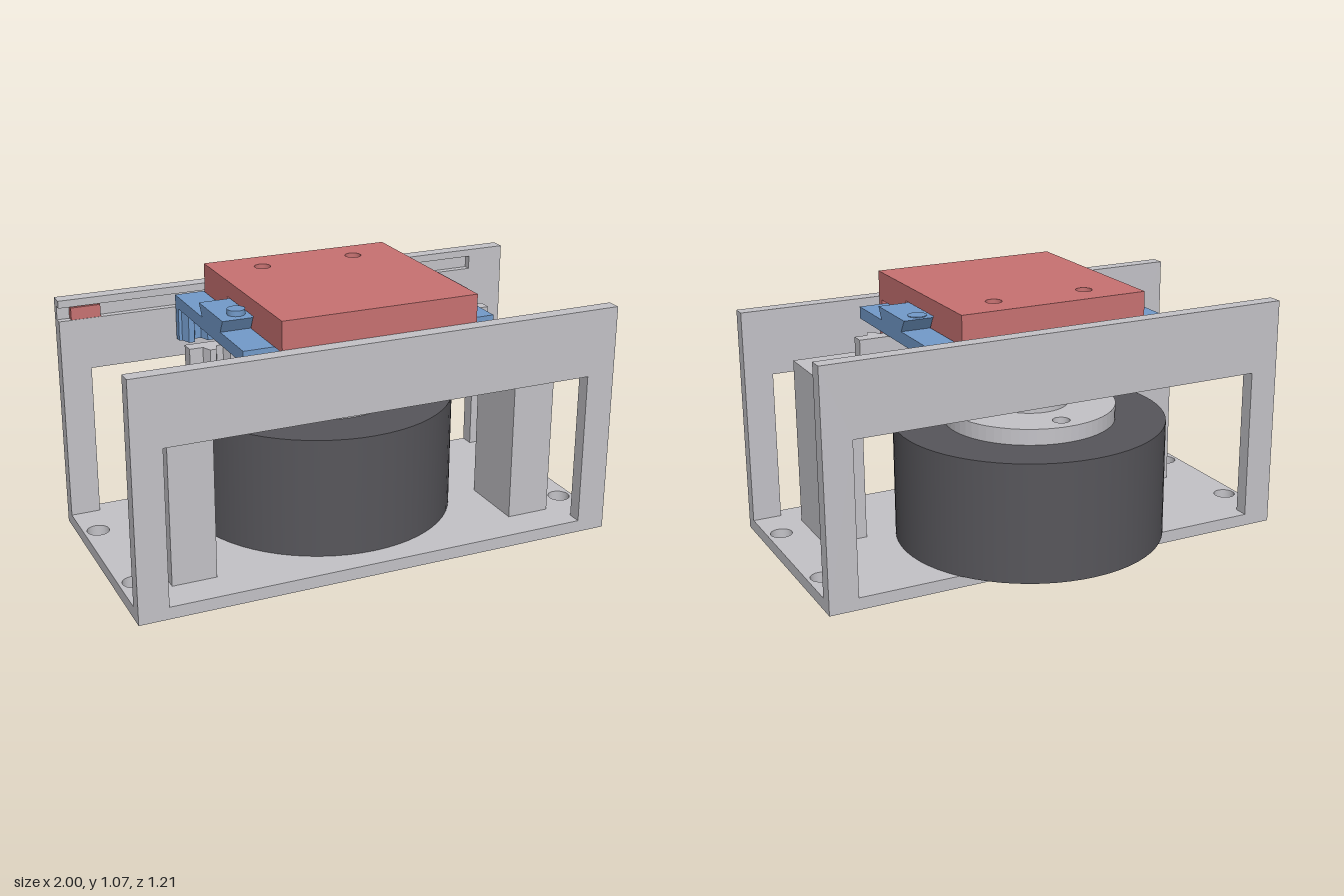
import * as THREE from 'three';

const mat = (name, color) => {
  const m = new THREE.MeshStandardMaterial({ color });
  m.name = name;
  return m;
};

export function createModel() {
  const model = new THREE.Group();
  const grey = mat('light grey', 0xc4c3c8), dark = mat('charcoal', 0x57565b);
  const red = mat('red', 0xc97272), blue = mat('blue', 0x739bcb);
  const orange = mat('ochre', 0xcda068), green = mat('green', 0x6fc08c);

  const add = (name, geo, material) => {
    const mesh = new THREE.Mesh(geo, material);
    mesh.name = name;
    model.add(mesh);
    return mesh;
  };
  // Box given by its limits on each axis
  const box = (name, m, x0, x1, y0, y1, z0, z1) =>
    add(name, new THREE.BoxGeometry(x1 - x0, y1 - y0, z1 - z0)
      .translate((x0 + x1) / 2, (y0 + y1) / 2, (z0 + z1) / 2), m);
  const cyl = (name, m, r, y0, y1, x, z) =>
    add(name, new THREE.CylinderGeometry(r, r, y1 - y0, 64).translate(x, (y0 + y1) / 2, z), m);
  const shapeOf = pts => new THREE.Shape(pts.map(p => new THREE.Vector2(...p)));
  const rect = (x0, x1, y0, y1) => shapeOf([[x0, y0], [x1, y0], [x1, y1], [x0, y1]]);
  const circle = (x, y, r) => new THREE.Path().absarc(x, y, r, 0, Math.PI * 2, true);
  const extrude = (shape, depth) =>
    new THREE.ExtrudeGeometry(shape, { depth, bevelEnabled: false, curveSegments: 32 });
  // Shape drawn in (x, z), filled between two heights
  const slab = (name, m, shape, y0, y1) =>
    add(name, extrude(shape, y1 - y0).rotateX(Math.PI / 2).translate(0, y1, 0), m);
  // Shape drawn in (x, y), filled between two z values
  const wall = (name, m, shape, z0, z1) =>
    add(name, extrude(shape, z1 - z0).translate(0, 0, z0), m);
  // Profile drawn in (z, y), centred along x
  const rail = (name, m, pts, half) =>
    add(name, extrude(shapeOf(pts), half * 2).rotateY(-Math.PI / 2).translate(half, 0, 0), m);

  // Base plate with bolt holes and motor clearance
  const base = rect(-1, 1, -0.355, 0.605);
  for (const x of [-0.94, 0.94])
    for (const z of [-0.115, 0.365]) base.holes.push(circle(x, z, 0.045));
  const cz = -0.05, R = 0.19, w = 0.035, L = 0.4, a = Math.asin(w / R);
  const keyhole = new THREE.Path();
  keyhole.absarc(0, cz, R, a, Math.PI - a, false);
  keyhole.absarc(-L, cz, w, Math.PI / 2, Math.PI * 1.5, false);
  keyhole.absarc(0, cz, R, Math.PI + a, Math.PI * 2 - a, false);
  keyhole.absarc(L, cz, w, -Math.PI / 2, Math.PI / 2, false);
  base.holes.push(keyhole);
  slab('basePlate', grey, base, 0, 0.05);

  // Windowed walls; the back one has a guide groove inside
  const opening = () => new THREE.Path(
    [[-0.88, 0.05], [-0.88, 0.68], [0.88, 0.68], [0.88, 0.05]].map(p => new THREE.Vector2(...p)));
  const front = rect(-1, 1, 0, 0.955);
  front.holes.push(opening());
  wall('frontWall', grey, front, 0.547, 0.605);
  const back = rect(-1, 1, 0, 0.975);
  back.holes.push(opening());
  wall('backWall', grey, back, -0.355, -0.325);
  const grooved = shapeOf([[-1, 0], [1, 0], [1, 0.975], [-1, 0.975], [-1, 0.945],
    [0.84, 0.945], [0.84, 0.89], [-1, 0.89]]);
  grooved.holes.push(opening());
  wall('backWallGroove', grey, grooved, -0.325, -0.295);
  box('grooveStop', red, -0.95, -0.83, 0.89, 0.94, -0.325, -0.297);

  // Bridge carrying the fixed rack
  for (const s of [-1, 1])
    box('bridgePost', grey, s * 0.73 - 0.09, s * 0.73 + 0.09, 0.05, 0.68, 0.167, 0.457);
  box('bridgeTop', grey, -0.82, 0.82, 0.68, 0.755, 0.167, 0.457);

  // Motor
  cyl('motorBody', dark, 0.555, 0.05, 0.54, 0, cz);
  const flange = new THREE.Shape().absarc(0, cz, 0.35, 0, Math.PI * 2, false);
  for (let i = 0; i < 4; i++) {
    const t = i * Math.PI / 2;
    flange.holes.push(circle(0.27 * Math.cos(t), cz + 0.27 * Math.sin(t), 0.035));
  }
  slab('motorFlange', grey, flange, 0.54, 0.605);
  cyl('motorShaft', grey, 0.158, 0.605, 0.675, 0, cz);
  cyl('gearHub', orange, 0.158, 0.675, 0.757, 0, cz);

  // Gears; phase puts a tooth gap towards the racks
  const gear = (name, m, n, root, tip, z, phase, y0, y1) => {
    const pts = [], p = Math.PI * 2 / n;
    for (let i = 0; i < n; i++)
      for (const [f, r] of [[-0.34, root], [-0.14, tip], [0.14, tip], [0.34, root]]) {
        const t = (i + f) * p + phase;
        pts.push([r * Math.cos(t), z + r * Math.sin(t)]);
      }
    slab(name, m, shapeOf(pts), y0, y1);
  };
  gear('driveGear', orange, 14, 0.157, 0.2, cz, -Math.PI / 2 + Math.PI / 14, 0.757, 0.89);
  gear('pinion', green, 10, 0.1, 0.142, 0.3675, Math.PI / 2 + Math.PI / 10, 0.76, 0.888);
  cyl('pinionAxle', blue, 0.04, 0.886, 0.897, 0, 0.3675);

  // Racks: straight back edge, teeth from root to tip along z
  const rack = (name, m, half, zBack, zRoot, zTip, y0, y1) => {
    const pitch = 0.08, n = Math.floor((half - 0.03) / pitch);
    const pts = [[-half, zBack], [-half, zRoot]];
    for (let i = -n; i <= n; i++)
      for (const [d, z] of [[-0.027, zRoot], [-0.012, zTip], [0.012, zTip], [0.027, zRoot]])
        pts.push([i * pitch + d, z]);
    pts.push([half, zRoot], [half, zBack]);
    slab(name, m, shapeOf(pts), y0, y1);
  };
  rack('fixedRack', grey, 0.64, 0.167, 0.222, 0.26, 0.755, 0.89);
  rack('carriageRack', blue, 0.52, -0.287, -0.255, -0.215, 0.757, 0.895);
  rack('tableRack', red, 0.4, 0.545, 0.515, 0.475, 0.757, 0.945);

  // Blue carriage with dovetail, groove tongue, pin and hole
  box('carriagePlate', blue, -0.52, 0.52, 0.893, 0.943, -0.29, 0.465);
  box('carriageTongue', blue, -0.37, 0.37, 0.895, 0.94, -0.315, -0.29);
  rail('dovetail', blue, [[0.03, 0.943], [0.23, 0.943], [0.257, 0.993], [-0.002, 0.993]], 0.52);
  cyl('stopPin', blue, 0.035, 0.993, 1.015, -0.44, 0.19);
  cyl('stopHoleRim', blue, 0.038, 0.993, 0.996, 0.44, 0.055);

  // Red table: dovetail groove section, then a drilled top
  const under = [[-0.27, 0.945], [0.022, 0.945], [-0.01, 1.0], [0.265, 1.0], [0.238, 0.945],
    [0.545, 0.945], [0.545, 1.03], [-0.27, 1.03]];
  rail('tableGroove', red, under, 0.4);
  const top = rect(-0.4, 0.4, -0.27, 0.545);
  for (const x of [-0.2, 0.2]) top.holes.push(circle(x, -0.135, 0.033));
  slab('tableTop', red, top, 1.03, 1.065);

  return model;
}
